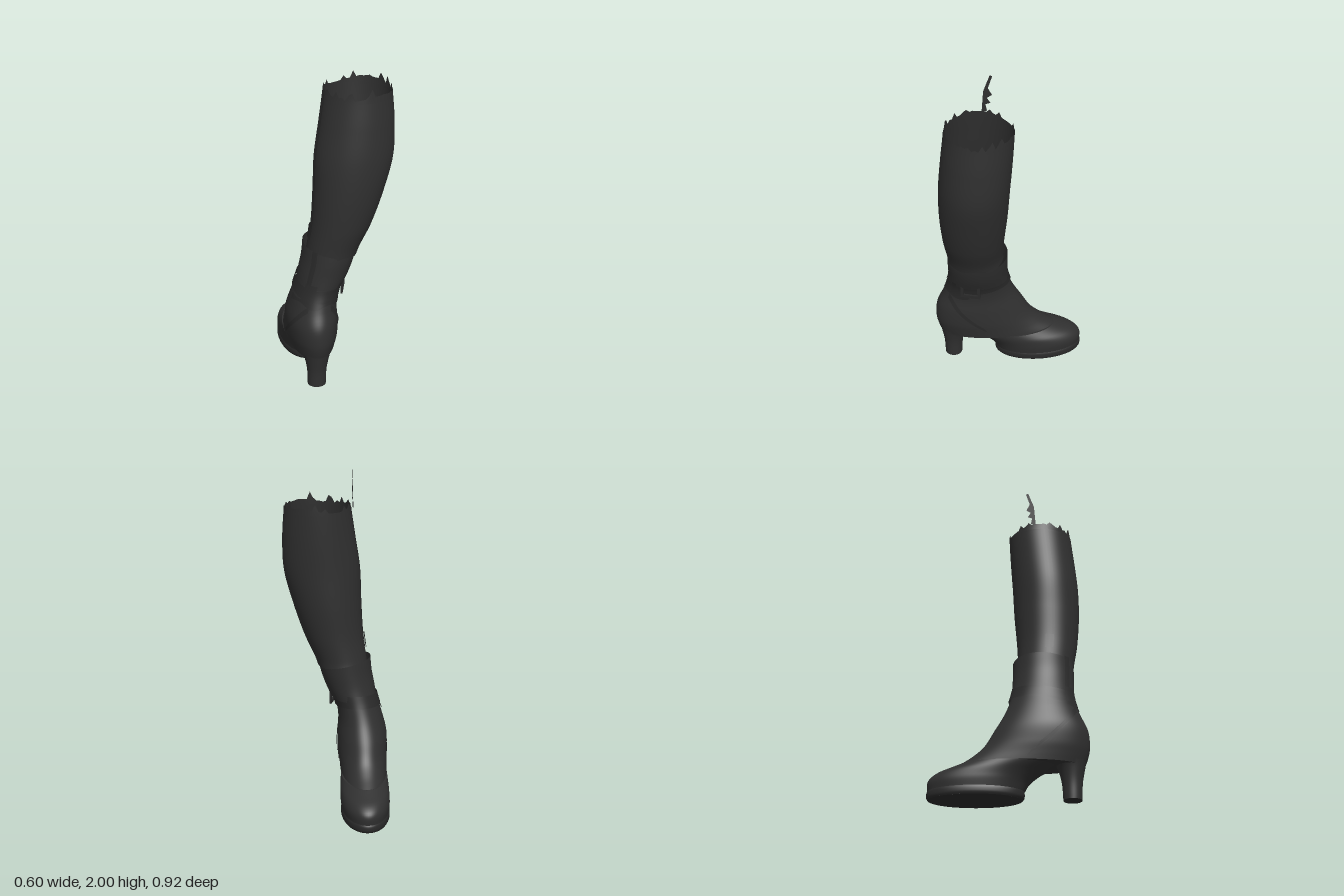
import * as THREE from 'three';
import { mergeVertices } from 'three/addons/utils/BufferGeometryUtils.js';

// Level sections of the boot: [y, back, front, sideways centre, half width],
// measured along the foot, which is turned toward -z and +x.
const UPPER = [
  [0.195, -0.385, 0.315, -0.05, 0.138], [0.24, -0.4, 0.245, -0.05, 0.142],
  [0.3, -0.412, 0.178, -0.05, 0.148], [0.4, -0.405, 0.117, -0.05, 0.148],
  [0.5, -0.363, 0.062, -0.04, 0.134], [0.6, -0.334, 0.026, -0.016, 0.127],
  [0.7, -0.33, 0.005, 0.02, 0.137],
];
const SHAFT = [
  [0.8, -0.338, -0.01, 0.062, 0.147], [0.86, -0.345, -0.016, 0.076, 0.153],
  [1.0, -0.368, -0.012, 0.117, 0.175], [1.2, -0.385, 0.003, 0.156, 0.203],
  [1.4, -0.385, 0.013, 0.185, 0.224], [1.6, -0.368, 0.026, 0.203, 0.212],
  [1.78, -0.348, 0.035, 0.21, 0.193], [1.84, -0.346, 0.035, 0.21, 0.19],
];
const FOREFOOT = [
  [0.045, -0.05, 0.482, -0.045, 0.138], [0.09, -0.075, 0.485, -0.045, 0.144],
  [0.12, -0.105, 0.471, -0.045, 0.144], [0.15, -0.145, 0.43, -0.046, 0.143],
  [0.175, -0.19, 0.367, -0.048, 0.14], [0.2, -0.24, 0.305, -0.05, 0.137],
];
const SOLE = [
  [0, -0.04, 0.479, -0.045, 0.136], [0.012, -0.05, 0.487, -0.045, 0.142],
  [0.04, -0.052, 0.487, -0.045, 0.142], [0.05, -0.05, 0.481, -0.045, 0.138],
];
const HEEL = [
  [0, -0.367, -0.263, -0.05, 0.054], [0.1, -0.372, -0.256, -0.05, 0.058],
  [0.18, -0.386, -0.235, -0.05, 0.073], [0.23, -0.396, -0.2, -0.05, 0.09],
];
const CUFF = [
  [0.62, -0.338, 0.026, -0.002, 0.136], [0.7, -0.338, 0.016, 0.023, 0.147],
  [0.78, -0.341, 0.014, 0.044, 0.153], [0.87, -0.339, 0.014, 0.059, 0.16],
];

// Smooth interpolation of the sections at a height
function section(rows, y) {
  let i = 0;
  while (i < rows.length - 2 && y > rows[i + 1][0]) i++;
  const slope = (k, c) => {
    const p = rows[Math.max(k - 1, 0)], q = rows[Math.min(k + 1, rows.length - 1)];
    return (q[c] - p[c]) / (q[0] - p[0]);
  };
  const h = rows[i + 1][0] - rows[i][0];
  const t = THREE.MathUtils.clamp((y - rows[i][0]) / h, 0, 1);
  return [1, 2, 3, 4].map((c) =>
    (1 + 2 * t) * (1 - t) ** 2 * rows[i][c] + t * (1 - t) ** 2 * h * slope(i, c) +
    t * t * (3 - 2 * t) * rows[i + 1][c] + t * t * (t - 1) * h * slope(i + 1, c));
}

// Point on the surface; angle 0 faces the toe, PI the heel
function surfacePoint(rows, y, angle, offset = 0, scale = 1) {
  const [back, front, side, half] = section(rows, y);
  const u = (back + front) / 2 + ((front - back) / 2 + offset) * scale * Math.cos(angle);
  const w = side + (half + offset) * scale * Math.sin(angle);
  return new THREE.Vector3(0.5 * u + 0.866 * w, y, -0.866 * u + 0.5 * w);
}

function grid(fn, nu, nv) {
  const pos = [], idx = [];
  for (let j = 0; j <= nv; j++) {
    for (let i = 0; i <= nu; i++) pos.push(...fn(i / nu, j / nv).toArray());
  }
  for (let j = 0; j < nv; j++) {
    for (let i = 0; i < nu; i++) {
      const a = j * (nu + 1) + i, b = a + nu + 1;
      idx.push(a, b, a + 1, a + 1, b, b + 1);
    }
  }
  let g = new THREE.BufferGeometry();
  g.setAttribute('position', new THREE.Float32BufferAttribute(pos, 3));
  g.setIndex(idx);
  g = mergeVertices(g, 1e-5);
  g.computeVertexNormals();
  return g;
}

export function createModel() {
  const boot = new THREE.Group();
  boot.name = 'boot';
  const make = (name, color) => {
    const m = new THREE.MeshStandardMaterial({ color, side: THREE.DoubleSide });
    m.name = name;
    return m;
  };
  const leather = make('charcoal leather', 0x303030);
  const trim = make('dark trim', 0x2a2a2a);
  const add = (name, geometry, material) => {
    const mesh = new THREE.Mesh(geometry, material);
    mesh.name = name;
    boot.add(mesh);
    return mesh;
  };
  const TAU = Math.PI * 2;

  // Sheet following the sections between two angles and two edge heights
  const patch = (name, rows, a0, a1, low, high, offset, material, nu = 64, nv = 10) =>
    add(name, grid((s, t) => {
      const a = a0 + (a1 - a0) * s;
      return surfacePoint(rows, low(a) + (high(a) - low(a)) * t, a, offset);
    }, nu, nv), material);
  const cap = (name, rows, y, material) =>
    add(name, grid((s, t) => surfacePoint(rows, y, s * TAU, 0, t), 48, 1), material);
  const flat = (y) => () => y;

  // Shaft with a torn upper edge, stopping just short of the cuff
  const torn = (a) => {
    const k = Math.round(a / TAU * 64) % 64;
    const n = Math.sin(k * 12.9898) * 43758.5453;
    return 1.775 + 0.05 * (n - Math.floor(n)) ** 4 + 0.012 * Math.sin(a * 3);
  };
  patch('shaft', SHAFT, 0, TAU, (a) => 0.815 + 0.008 * Math.sin(a * 5), flat(1.75), 0, leather, 64, 60);
  patch('tornTopEdge', SHAFT, 0, TAU, flat(1.75), torn, 0, leather, 64, 2);

  // Ankle and instep, joined to the forefoot by the underside of the arch
  patch('upper', UPPER, 0, TAU, flat(0.195), flat(0.64), 0, leather, 64, 36);
  add('archUnderside', grid((s, t) =>
    surfacePoint(FOREFOOT, 0.195, s * TAU).lerp(surfacePoint(UPPER, 0.195, s * TAU), t),
  64, 3), leather);

  // Forefoot, sole and heel
  patch('forefoot', FOREFOOT, 0, TAU, flat(0.045), flat(0.195), 0, leather, 64, 16);
  patch('soleEdge', SOLE, 0, TAU, flat(0), flat(0.05), 0, trim, 64, 8);
  cap('soleBottom', SOLE, 0, trim);
  patch('heel', HEEL, 0, TAU, flat(0), flat(0.22), 0, leather, 40, 14);
  cap('heelTip', HEEL, 0, trim);

  // Heel counter panel and the strap along its edge, sweeping down to the arch
  const counterEdge = (a) => 0.54 - 0.12 * (a - Math.PI) ** 2;
  patch('heelCounter', UPPER, Math.PI - 1.55, Math.PI + 1.55, flat(0.215), counterEdge,
    0.004, leather, 40, 16);
  for (const side of [-1, 1]) {
    patch(side > 0 ? 'innerHarnessStrap' : 'outerHarnessStrap', UPPER,
      Math.PI + side * 0.5, Math.PI + side * 1.5,
      (a) => counterEdge(a) - 0.015, (a) => counterEdge(a) + 0.02, 0.007, trim, 24, 3);
  }

  // Ankle cuff, lower on the buckle side, and the straps below it
  patch('ankleCuff', CUFF, 0, TAU, flat(0.625), (a) => 0.838 - 0.032 * Math.cos(a - 1.83),
    0, leather, 64, 12);
  patch('cuffTab', CUFF, 3.8, 4.0, flat(0.64), flat(0.86), 0.008, trim, 5, 8);
  const strapMid = (a) => 0.607 + 0.02 * Math.cos(a);
  patch('ankleStrap', UPPER, 0, TAU, (a) => strapMid(a) - 0.036, (a) => strapMid(a) + 0.036,
    0.01, trim, 64, 4);
  patch('lowerStrap', UPPER, 1.9, 4.6, (a) => 0.525 + 0.012 * Math.sin(a * 5),
    (a) => 0.56 + 0.01 * Math.sin(a * 4), 0.008, trim, 40, 3);
  patch('strapEnd', UPPER, 3.5, 4.0, flat(0.555), flat(0.655), 0.016, trim, 10, 4);
  patch('strapLoop', UPPER, 2.4, 2.6, flat(0.55), flat(0.655), 0.016, trim, 6, 4);

  // Buckle frame lying on the strap
  const frame = new THREE.Shape();
  frame.moveTo(-0.06, -0.048).lineTo(0.06, -0.048).lineTo(0.06, 0.048).lineTo(-0.06, 0.048);
  const hole = new THREE.Path();
  hole.moveTo(-0.042, -0.03).lineTo(-0.042, 0.03).lineTo(0.042, 0.03).lineTo(0.042, -0.03);
  frame.holes.push(hole);
  const buckle = add('buckle',
    new THREE.ExtrudeGeometry(frame, { depth: 0.012, bevelEnabled: false }), trim);
  buckle.position.copy(surfacePoint(UPPER, 0.61, 1.88, 0.01));
  buckle.lookAt(surfacePoint(UPPER, 0.61, 1.88, 0.2));

  // Zip along the inner side, with its pull
  patch('zip', SHAFT, -1.78, -1.7, flat(0.9), flat(1.77), 0.005, trim, 3, 40);
  patch('zipPull', SHAFT, -1.76, -1.5, flat(0.91), flat(1.0), 0.01, trim, 4, 3);

  // Loose frayed strip standing above the top edge
  const strip = new THREE.Shape([
    [0, 0], [0.03, 0.01], [0.022, 0.05], [0.05, 0.06], [0.03, 0.09], [0.058, 0.11],
    [0.036, 0.15], [0.06, 0.225], [0.046, 0.23], [0.01, 0.13],
  ].map(([x, y]) => new THREE.Vector2(x, y)));
  const fray = add('frayedStrip', new THREE.ShapeGeometry(strip), leather);
  fray.position.set(-0.06, 1.77, 0.11);
  fray.rotation.y = 0.85;

  return boot;
}
